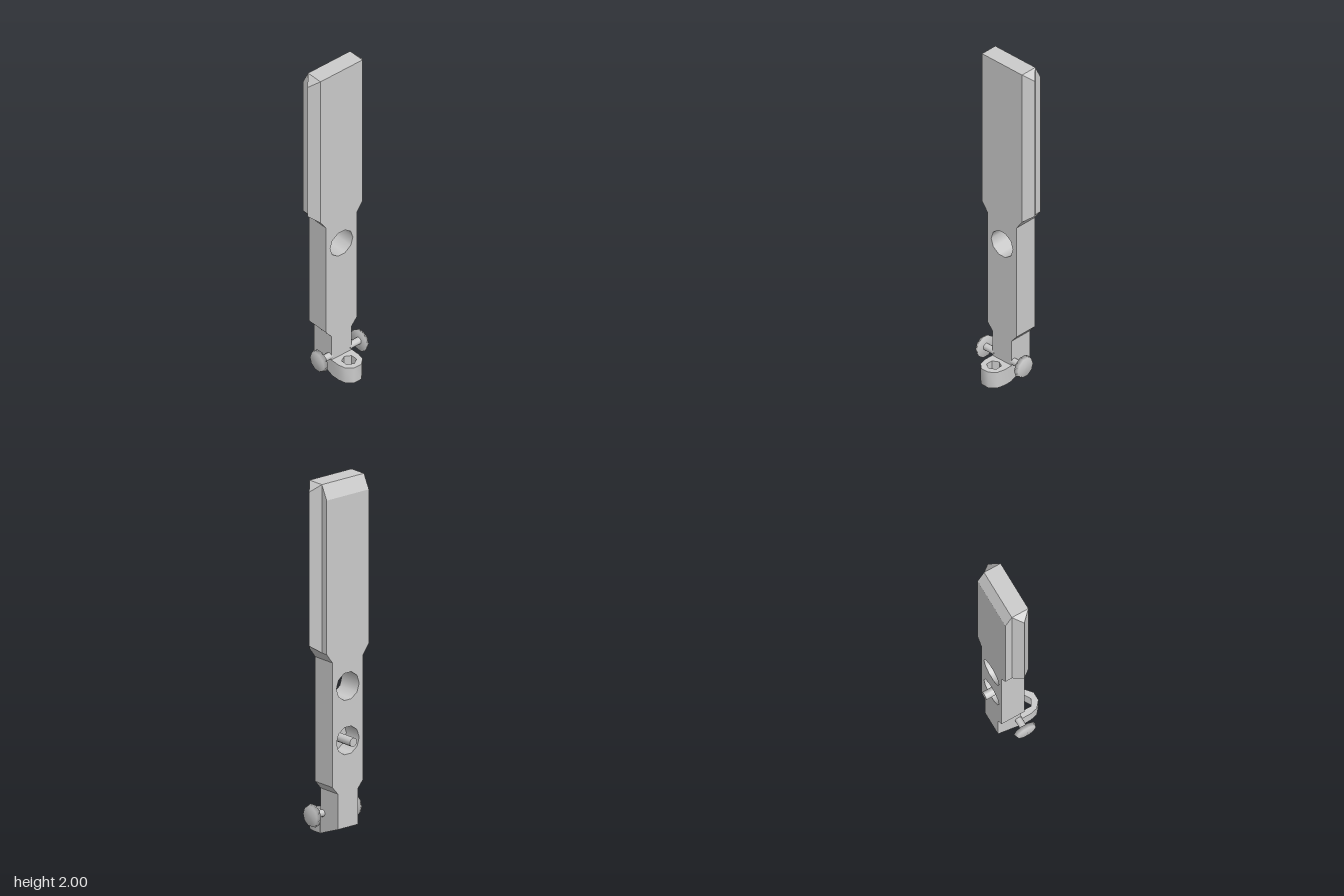
import * as THREE from 'three';
import { toCreasedNormals } from 'three/addons/utils/BufferGeometryUtils.js';
import { ConvexGeometry } from 'three/addons/geometries/ConvexGeometry.js';

const FRONT = 0.027, BACK = -0.115, BEVEL = -0.075, POCKET_FLOOR = -0.01;
const HOLE_R = 0.08, HOLE_Y = 0.847, POCKET_Y = 0.542;
const material = new THREE.MeshStandardMaterial({ color: 0xcccccc });

function add(parent, name, geometry) {
  const mesh = new THREE.Mesh(geometry, material);
  mesh.name = name;
  parent.add(mesh);
  return mesh;
}

const vectors = (points) => points.map(([x, y]) => new THREE.Vector2(x, y));

// Closed shape mirrored about x = 0 from its right-hand half
function mirroredShape(half) {
  const other = half.map(([x, y]) => [-x, y]).reverse();
  return new THREE.Shape(vectors([...half, ...other]));
}

function polygonHole(cx, cy, r, sides, turn = 0) {
  const points = [];
  for (let i = 0; i < sides; i++) {
    const a = turn - (i / sides) * Math.PI * 2;
    points.push([cx + r * Math.cos(a), cy + r * Math.sin(a)]);
  }
  return new THREE.Path(vectors(points));
}

// Flat bar with a wide blade, narrow grip and neck
function bodyGeometry() {
  const shape = mirroredShape([
    [0.07, 0], [0.07, 0.255], [0.108, 0.3], [0.108, 1.0], [0.148, 1.055], [0.148, 2],
  ]);
  shape.holes.push(polygonHole(0, HOLE_Y, HOLE_R, 10), polygonHole(0, POCKET_Y, HOLE_R, 10));
  const geo = new THREE.ExtrudeGeometry(shape, { depth: 2, steps: 2, bevelEnabled: false });
  const pos = geo.attributes.position;
  const layers = [BACK, BEVEL, FRONT];
  for (let i = 0; i < pos.count; i++) {
    const z = layers[Math.round(pos.getZ(i))];
    // Slanted underside, and a bevel along the top of the back
    const y = Math.min(Math.max(pos.getY(i), (FRONT - z) * 0.39), 2 - Math.max(0, BEVEL - z) * 2);
    pos.setXYZ(i, pos.getX(i), y, z);
  }
  geo.computeVertexNormals();
  // Smooth walls inside the round holes
  const nor = geo.attributes.normal;
  for (let i = 0; i < pos.count; i++) {
    if (Math.abs(nor.getZ(i)) > 0.1) continue;
    for (const cy of [HOLE_Y, POCKET_Y]) {
      const x = pos.getX(i), dy = pos.getY(i) - cy;
      if (Math.abs(Math.hypot(x, dy) - HOLE_R) < 0.001) nor.setXYZ(i, -x / HOLE_R, -dy / HOLE_R, 0);
    }
  }
  return geo;
}

// Ten-sided cylinder lying along z
function rodAlongZ(r, z0, z1, y) {
  const geo = new THREE.CylinderGeometry(r, r, z1 - z0, 10);
  geo.rotateY(Math.PI / 2);
  geo.rotateX(Math.PI / 2);
  return geo.translate(0, y, (z0 + z1) / 2);
}

export function createModel() {
  const model = new THREE.Group();
  model.name = 'bladeHandle';

  add(model, 'body', bodyGeometry());

  // Blind pocket in the back, with a pin standing on its floor
  add(model, 'pocketFloor', rodAlongZ(HOLE_R, POCKET_FLOOR, FRONT, POCKET_Y));
  add(model, 'pocketPin', rodAlongZ(0.025, -0.16, POCKET_FLOOR, POCKET_Y));

  // Lug with a hexagonal socket at the foot (drawn in x and -z)
  const lug = mirroredShape([
    [0.025, -0.16], [0.062, -0.128], [0.072, -0.085], [0.072, -FRONT],
  ]);
  lug.holes.push(polygonHole(0, -0.089, 0.041, 6, Math.PI / 2));
  const lugGeo = new THREE.ExtrudeGeometry(lug, { depth: 0.1, bevelEnabled: false });
  lugGeo.rotateX(-Math.PI / 2);
  add(model, 'lug', toCreasedNormals(lugGeo, 0.9));

  for (const side of [1, -1]) {
    const label = side > 0 ? 'left' : 'right';

    // Pointed edge along the blade
    const corners = [
      [0.148, 2, FRONT], [0.148, 2, BEVEL], [0.148, 1.055, FRONT], [0.148, 1.055, BEVEL],
      [0.194, 1.955, -0.025], [0.194, 1.09, -0.025],
    ];
    add(model, label + 'Edge', new ConvexGeometry(
      corners.map(([x, y, z]) => new THREE.Vector3(side * x, y, z))));

    // Knob on a short stem
    const knob = new THREE.Group();
    knob.name = label + 'Knob';
    knob.position.set(0, 0.118, 0.01);
    knob.rotation.z = -side * Math.PI / 2;
    const stem = add(knob, label + 'KnobStem', new THREE.CylinderGeometry(0.02, 0.02, 0.08, 10));
    stem.position.y = 0.1;
    const head = vectors([[0, 0.136], [0.066, 0.136], [0.057, 0.158], [0, 0.159]]);
    add(knob, label + 'KnobHead', new THREE.LatheGeometry(head, 10));
    model.add(knob);
  }
  return model;
}
